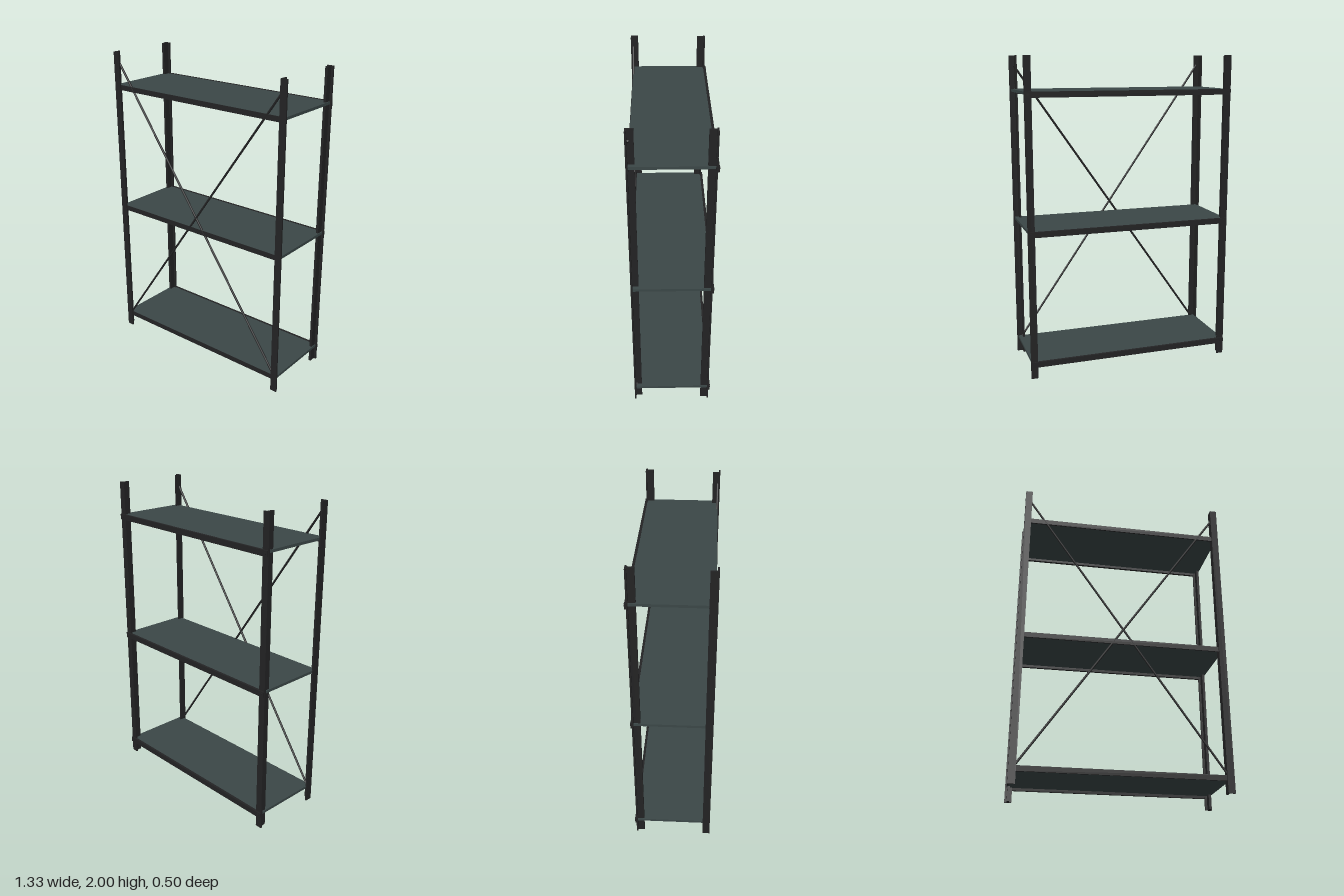
import * as THREE from 'three';

const frameMat = new THREE.MeshStandardMaterial({ color: 0x232324 });
frameMat.name = 'black steel';
const shelfMat = new THREE.MeshStandardMaterial({ color: 0x3b4747 });
shelfMat.name = 'slate grey shelf';

// Box given by its minimum and maximum on each axis
function slab(name, mat, [x0, x1], [y0, y1], [z0, z1]) {
  const mesh = new THREE.Mesh(new THREE.BoxGeometry(x1 - x0, y1 - y0, z1 - z0), mat);
  mesh.position.set((x0 + x1) / 2, (y0 + y1) / 2, (z0 + z1) / 2);
  mesh.name = name;
  return mesh;
}

// Upright extruded from a plan outline of [x, z] points
function upright(name, points) {
  const shape = new THREE.Shape(points.map(([x, z]) => new THREE.Vector2(x, -z)));
  const geo = new THREE.ExtrudeGeometry(shape, { depth: 2, bevelEnabled: false });
  geo.rotateX(-Math.PI / 2);
  const mesh = new THREE.Mesh(geo, frameMat);
  mesh.name = name;
  return mesh;
}

// Thin round rod between two points
function rod(name, a, b, radius) {
  const dir = b.clone().sub(a);
  const mesh = new THREE.Mesh(new THREE.CylinderGeometry(radius, radius, dir.length(), 8), frameMat);
  mesh.position.copy(a).add(b).multiplyScalar(0.5);
  mesh.quaternion.setFromUnitVectors(new THREE.Vector3(0, 1, 0), dir.normalize());
  mesh.name = name;
  return mesh;
}

export function createModel() {
  const model = new THREE.Group();
  model.name = 'shelvingUnit';

  // Uprights: L-angles at the front, T-sections at the back
  for (const s of [-1, 1]) {
    const side = s > 0 ? 'Left' : 'Right';
    const c = s * 0.643, w = 0.022;
    model.add(upright('front' + side + 'Upright', [
      [c - w, 0.2], [c - w, 0.247], [c + w, 0.247],
      [c + w, 0.237], [c - w + 0.01, 0.237], [c - w + 0.01, 0.2],
    ]));
    model.add(upright('back' + side + 'Upright', [
      [c - w, -0.238], [c - w, -0.228], [c - 0.008, -0.228], [c - 0.008, -0.187],
      [c + 0.008, -0.187], [c + 0.008, -0.228], [c + w, -0.228], [c + w, -0.238],
    ]));
  }

  // Shelves with front and back beams, bolted to the back uprights
  for (const top of [0.11, 0.95, 1.79]) {
    const shelf = new THREE.Group();
    shelf.name = 'shelf';
    shelf.add(slab('shelfBoard', shelfMat, [-0.657, 0.657], [top - 0.017, top], [-0.236, 0.236]));
    shelf.add(slab('frontBeam', frameMat, [-0.655, 0.655], [top - 0.034, top - 0.001], [0.23, 0.238]));
    shelf.add(slab('backBeam', frameMat, [-0.662, 0.662], [top - 0.034, top + 0.001], [-0.247, -0.231]));
    for (const s of [-1, 1]) {
      const x = s * 0.643, y = top - 0.016;
      shelf.add(rod('bolt', new THREE.Vector3(x, y, -0.24), new THREE.Vector3(x, y, -0.25), 0.009));
    }
    model.add(shelf);
  }

  // Crossed braces at the front
  for (const s of [-1, 1]) {
    model.add(rod('crossBrace', new THREE.Vector3(s * 0.635, 1.935, 0.232),
      new THREE.Vector3(-s * 0.635, 0.105, 0.232), 0.007));
  }
  return model;
}
